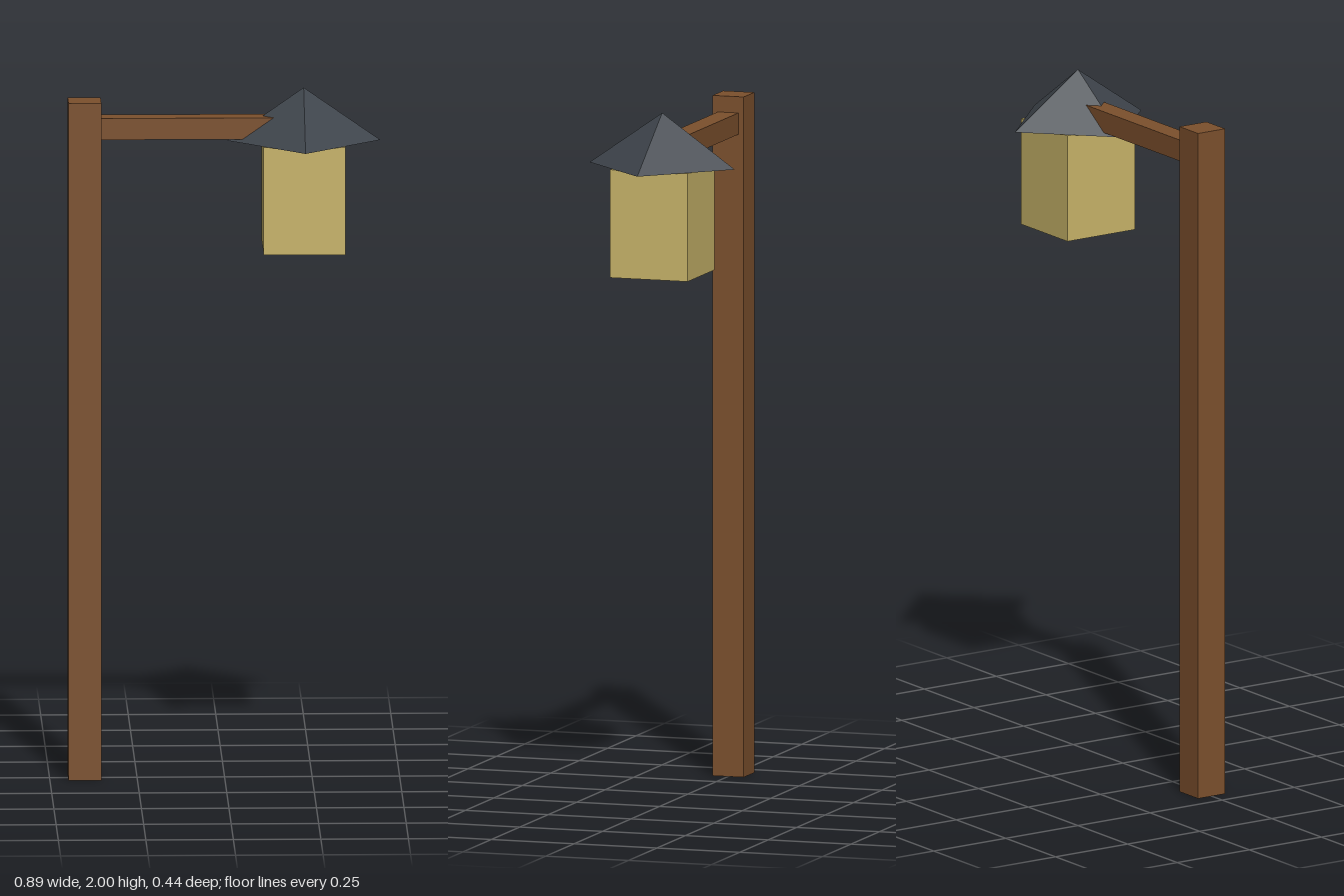
import * as THREE from 'three';

const material = (name, color) => {
  const m = new THREE.MeshStandardMaterial({ color, flatShading: true });
  m.name = name;
  return m;
};

export function createModel() {
  const group = new THREE.Group();
  group.name = 'lampPost';
  const wood = material('brown wood', 0x7c502d);
  const glow = material('warm lantern yellow', 0xc8b469);
  const slate = material('dark slate', 0x3f454c);

  const add = (name, geometry, mat, x, y) => {
    const mesh = new THREE.Mesh(geometry, mat);
    mesh.name = name;
    mesh.position.set(x, y, 0);
    group.add(mesh);
  };

  const postX = -0.4, lampX = 0.226, eave = 1.847;

  // Square upright post
  add('post', new THREE.BoxGeometry(0.094, 1.965, 0.094), wood, postX, 1.965 / 2);

  // Arm reaching from the post into the roof
  add('arm', new THREE.BoxGeometry(lampX - postX, 0.062, 0.062), wood, (postX + lampX) / 2, 1.887);

  // Lantern body hanging just under the eaves
  add('lantern', new THREE.BoxGeometry(0.234, 0.312, 0.234), glow, lampX, eave - 0.156);

  // Four-sided roof turned 45 degrees to the lantern
  add('roof', new THREE.ConeGeometry(0.219, 2 - eave, 4), slate, lampX, (2 + eave) / 2);

  return group;
}
